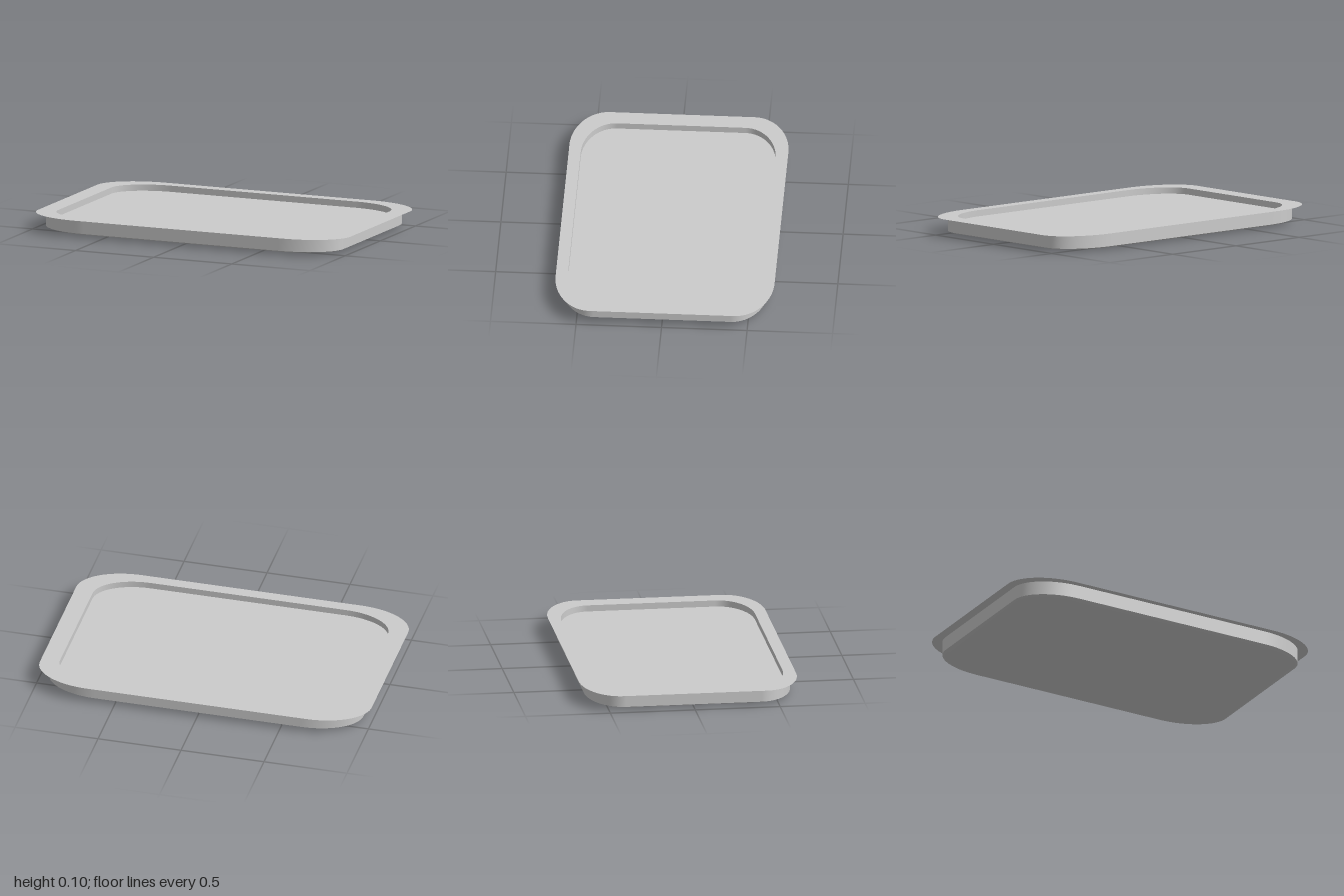
import * as THREE from 'three';

const HALF_DEPTH = 0.64; // half depth of the rim; its half width is 1
const CORNER = 0.34;     // corner radius before the depth is squeezed
const STEPS = 20;        // segments per corner

// Rounded-rectangle outline, running from +x towards +z
function outline() {
  const points = [];
  const c = 1 - CORNER;
  [[1, 1], [-1, 1], [-1, -1], [1, -1]].forEach(([sx, sz], quarter) => {
    for (let i = 0; i <= STEPS; i++) {
      const a = (quarter + i / STEPS) * Math.PI / 2;
      points.push([sx * c + CORNER * Math.cos(a), (sz * c + CORNER * Math.sin(a)) * HALF_DEPTH]);
    }
  });
  return points;
}

// Joins scaled copies of the outline; profile is a list of [scale, height]
function loft(profile) {
  const ring = outline();
  const n = ring.length;
  const positions = [];
  const index = [];
  profile.forEach(([s, y], r) => {
    ring.forEach(([x, z], i) => {
      positions.push(x * s, y, z * s);
      if (r === 0) return;
      const j = (i + 1) % n;
      const a = (r - 1) * n;
      const b = r * n;
      index.push(a + i, b + i, a + j, b + i, b + j, a + j);
    });
  });
  const geometry = new THREE.BufferGeometry();
  geometry.setAttribute('position', new THREE.Float32BufferAttribute(positions, 3));
  geometry.setIndex(index);
  geometry.computeVertexNormals();
  return geometry;
}

export function createModel() {
  const tray = new THREE.Group();
  tray.name = 'tray';
  const material = new THREE.MeshStandardMaterial({ color: 0xcccccc });
  const thin = new THREE.MeshStandardMaterial({ color: 0xcccccc, side: THREE.DoubleSide });

  const add = (name, profile, mat = material) => {
    const mesh = new THREE.Mesh(loft(profile), mat);
    mesh.name = name;
    tray.add(mesh);
  };

  // Softly domed underside
  add('underside', [[0, 0], [0.6, 0], [0.8, 0.003], [0.89, 0.007], [0.93, 0.012], [0.945, 0.018]]);
  add('outerWall', [[0.945, 0.018], [0.945, 0.1]]);
  // Thin flat lip overhanging the wall
  add('rim', [[1, 0.1], [0.89, 0.1]], thin);
  // Shallow recess
  add('innerWall', [[0.89, 0.1], [0.89, 0.063]]);
  add('floor', [[0.89, 0.063], [0, 0.063]]);

  return tray;
}
